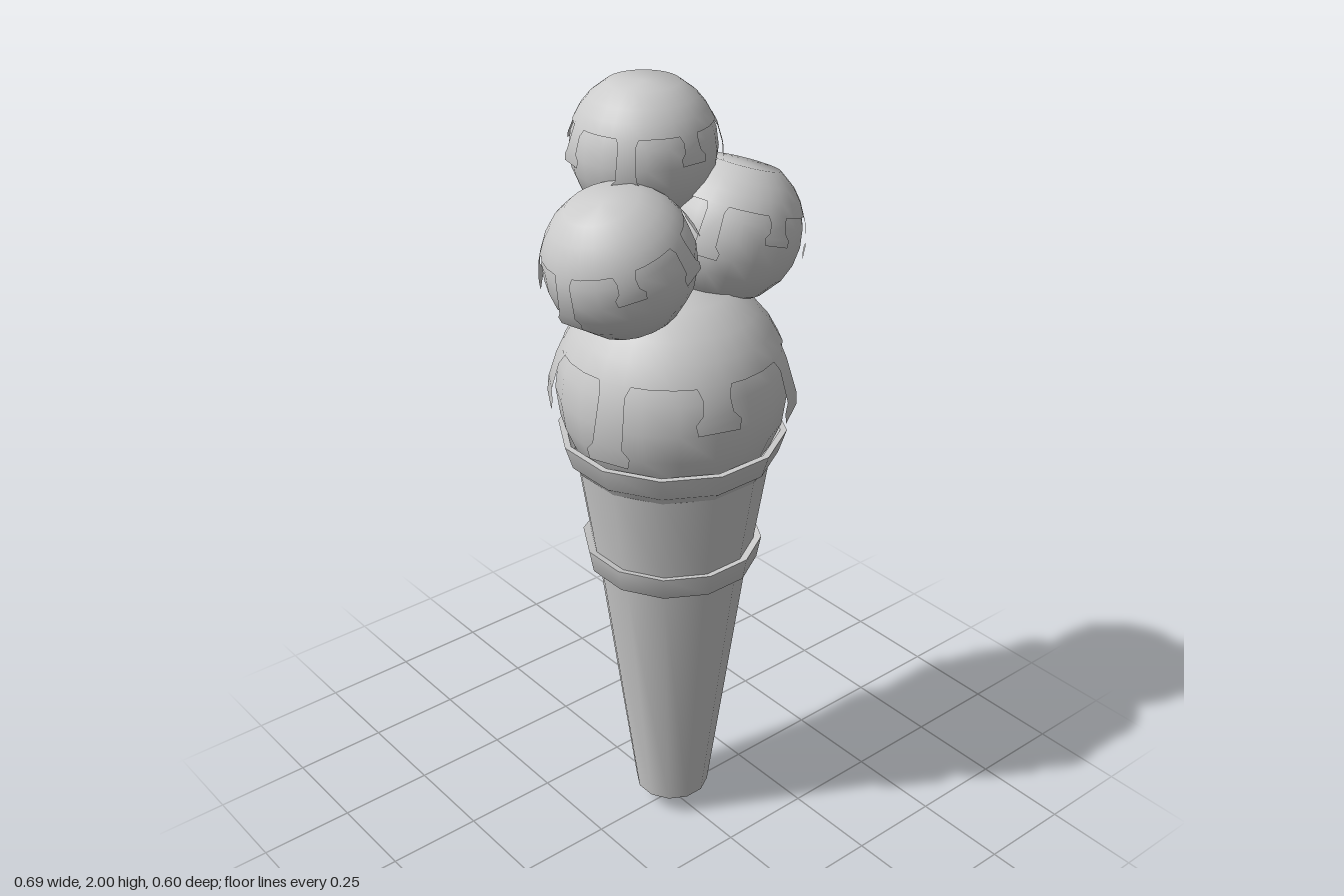
import * as THREE from 'three';

const material = new THREE.MeshStandardMaterial({ color: 0xcccccc });
const thinMaterial = new THREE.MeshStandardMaterial({ color: 0xcccccc, side: THREE.DoubleSide });
const rad = THREE.MathUtils.degToRad;

function addMesh(parent, name, geometry, mat = material) {
  const mesh = new THREE.Mesh(geometry, mat);
  mesh.name = name;
  parent.add(mesh);
  return mesh;
}

// Point on a ball: polar angle from the top, azimuth from +z towards +x
function ballPoint(radius, polar, azimuth) {
  return new THREE.Vector3().setFromSphericalCoords(radius, rad(polar), rad(azimuth));
}

// Lathe through polar angles of a ball, with a flat disc on top and sphere-like normals
function ballLathe(radius, angles, segments) {
  const profile = angles.map(a => new THREE.Vector2(radius * Math.sin(rad(a)), radius * Math.cos(rad(a))));
  profile.push(new THREE.Vector2(0, profile[profile.length - 1].y));
  const geometry = new THREE.LatheGeometry(profile, segments);
  const p = geometry.attributes.position, n = geometry.attributes.normal;
  const v = new THREE.Vector3();
  for (let i = 0; i < p.count; i++) {
    v.fromBufferAttribute(p, i).normalize();
    n.setXYZ(i, v.x, v.y, v.z);
  }
  return geometry;
}

// Drip: a strip with a narrow neck and a wide foot that flares off the ball
function dripGeometry(radius, azimuth, end) {
  const rows = [[65, 10], [72, 7], [end - 9, 7.5], [end - 5, 11], [end, 10]];
  const points = [], normals = [], index = [];
  rows.forEach(([polar, half], row) => {
    const r = radius * (1.018 + Math.max(0, polar - 65) * 0.002);
    for (const side of [-1, 1]) {
      const v = ballPoint(r, polar, azimuth + side * half);
      points.push(...v.toArray());
      normals.push(...v.normalize().toArray());
    }
    if (row > 0) {
      const a = row * 2 - 2;
      index.push(a, a + 2, a + 1, a + 1, a + 2, a + 3);
    }
  });
  const geometry = new THREE.BufferGeometry();
  geometry.setAttribute('position', new THREE.Float32BufferAttribute(points, 3));
  geometry.setAttribute('normal', new THREE.Float32BufferAttribute(normals, 3));
  geometry.setIndex(index);
  return geometry;
}

// Scoop: ball, icing cap and a ring of seven drips of varying length
function addScoop(parent, { name, radius, position, tilt = [0, 0], turn = 0 }) {
  const scoop = new THREE.Group();
  scoop.name = name;
  scoop.position.set(...position);
  scoop.rotation.set(rad(tilt[0]), 0, rad(tilt[1]));
  addMesh(scoop, 'ball', ballLathe(radius, [180, 160, 140, 120, 105, 90, 75, 60, 45, 29], 20));
  addMesh(scoop, 'icingCap', ballLathe(radius * 1.018, [67, 56, 45, 29], 28), thinMaterial);
  const ends = [88, 97, 92, 100, 88, 94, 105];
  ends.forEach((end, i) => {
    addMesh(scoop, 'drip', dripGeometry(radius, -18 + turn + (i * 360) / ends.length, end), thinMaterial);
  });
  parent.add(scoop);
}

// Wafer: pointed cone with two collars and a hollow rim, creased between sections
function addWafer(parent) {
  const wafer = new THREE.Group();
  wafer.name = 'wafer';
  const sections = {
    tip: [[0, 0], [0.098, 0.055]],
    lowerCone: [[0.098, 0.055], [0.192, 0.78]],
    lowerCollar: [[0.192, 0.78], [0.217, 0.795], [0.228, 0.855]],
    lowerCollarTop: [[0.228, 0.855], [0.208, 0.85]],
    upperCup: [[0.208, 0.85], [0.244, 1.09]],
    rim: [[0.244, 1.09], [0.264, 1.105], [0.283, 1.165]],
    rimTop: [[0.283, 1.165], [0.267, 1.165]],
    cupInside: [[0.267, 1.165], [0.225, 1.02], [0, 1.02]],
  };
  for (const [name, points] of Object.entries(sections)) {
    const profile = points.map(([x, y]) => new THREE.Vector2(x, y));
    const mesh = addMesh(wafer, name, new THREE.LatheGeometry(profile, 12), thinMaterial);
    mesh.rotation.y = rad(15);
  }
  parent.add(wafer);
}

export function createModel() {
  const model = new THREE.Group();
  model.name = 'iceCreamCone';
  addWafer(model);

  addScoop(model, { name: 'bottomScoop', radius: 0.283, position: [0, 1.28, 0] });
  // Side scoops lean outwards
  for (const [name, side] of [['leftScoop', 1], ['rightScoop', -1]]) {
    addScoop(model, {
      name, radius: 0.178, position: [side * 0.163, 1.645, 0.012],
      tilt: [0, -side * 18], turn: side * 12,
    });
  }
  addScoop(model, { name: 'topScoop', radius: 0.174, position: [0.008, 1.845, -0.112], turn: 18 });
  addScoop(model, { name: 'smallScoop', radius: 0.092, position: [0, 1.61, -0.2], tilt: [-18, 0], turn: 10 });
  return model;
}
